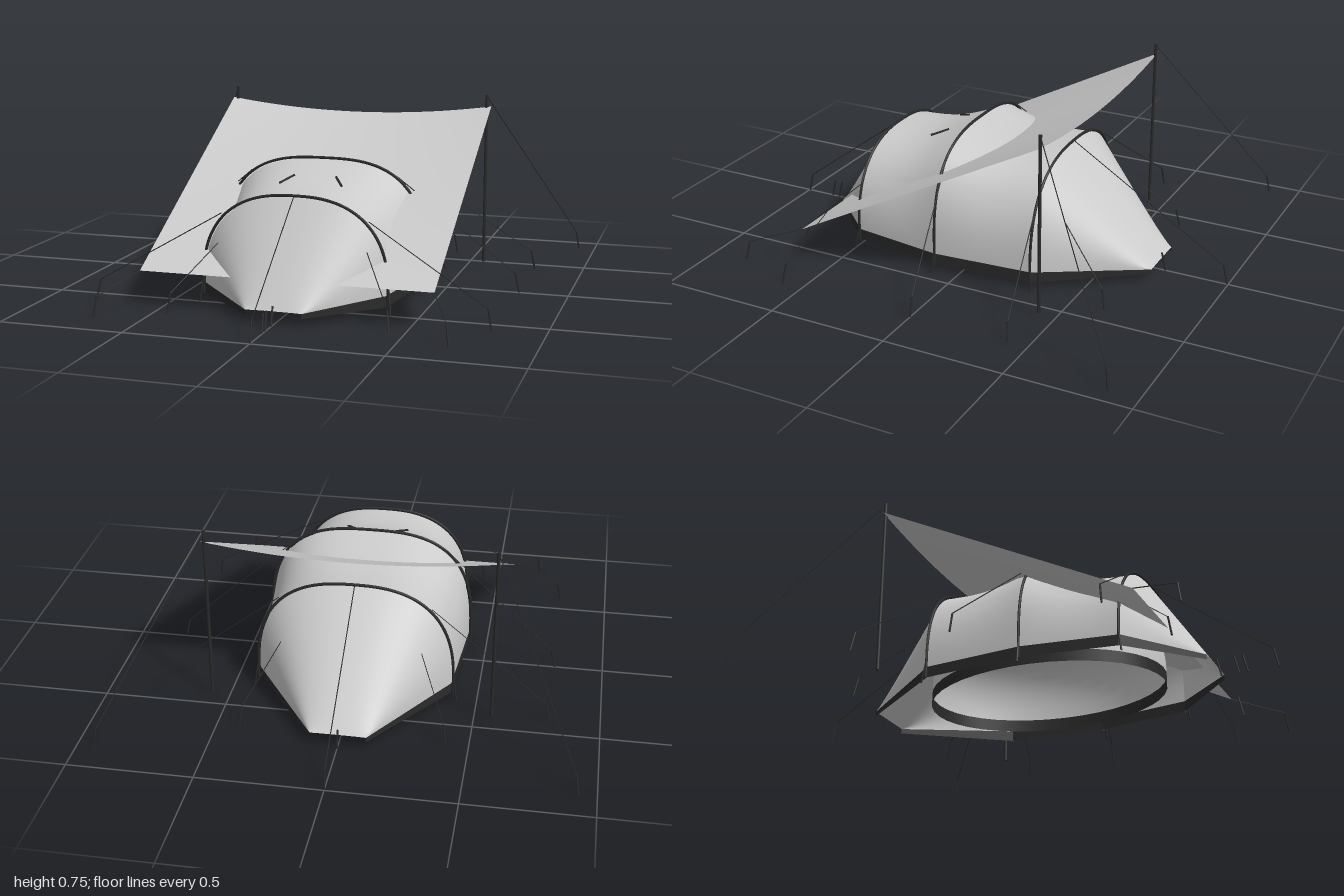
import * as THREE from 'three';
import { ParametricGeometry } from 'three/addons/geometries/ParametricGeometry.js';

const fabric = new THREE.MeshStandardMaterial({ color: 0xcccccc, side: THREE.DoubleSide });
const dark = new THREE.MeshStandardMaterial({ color: 0x2a2a2a, side: THREE.DoubleSide });
const V = (x, y, z) => new THREE.Vector3(x, y, z);
const lerp = THREE.MathUtils.lerp;

function add(parent, name, geometry, material) {
  const mesh = new THREE.Mesh(geometry, material);
  mesh.name = name;
  parent.add(mesh);
  return mesh;
}

function surface(parent, name, fn, nu, nv, material) {
  return add(parent, name, new ParametricGeometry((u, v, p) => p.copy(fn(u, v)), nu, nv), material);
}

// Straight rod between two points
function rod(parent, name, a, b, r, sides = 5) {
  const d = b.clone().sub(a);
  const mesh = add(parent, name, new THREE.CylinderGeometry(r, r, d.length(), sides), dark);
  mesh.position.copy(a).lerp(b, 0.5);
  mesh.quaternion.setFromUnitVectors(V(0, 1, 0), d.normalize());
}

// Arch cross-section: z, half width, top height, skirt height, squareness
const front = { z: 0.745, w: 0.11, h: 0.052, y0: 0.05, n: 2.5 };
const hoopA = { z: 0.49, w: 0.37, h: 0.437, y0: 0.075, n: 2.5 };
const hoopB = { z: 0.1, w: 0.425, h: 0.525, y0: 0.075, n: 2.9 };
const hoopC = { z: -0.315, w: 0.395, h: 0.487, y0: 0.075, n: 2.6 };
const back = { z: -0.715, w: 0.11, h: 0.052, y0: 0.05, n: 2.5 };

function arch(s, v, grow = 0) {
  const t = v * Math.PI;
  const c = Math.cos(t), k = 2 / s.n;
  return V(
    (s.w + grow) * Math.sign(c) * Math.abs(c) ** k,
    s.y0 + (s.h + grow - s.y0) * Math.max(Math.sin(t), 0) ** k,
    s.z
  );
}

// Fabric stretched between two arches, sagging inwards by given amounts
function panel(parent, name, a, b, sagTop, sagSide) {
  surface(parent, name, (u, v) => {
    const p = arch(a, v).lerp(arch(b, v), u);
    const sag = Math.sin(Math.PI * u), up = Math.sin(Math.PI * v);
    p.y -= sagTop * sag * up;
    p.x *= 1 - sagSide * sag * Math.min(1, up * 2);
    return p;
  }, 16, 48, fabric);
  // Dark skirt strips along both sides
  for (const s of [1, -1]) {
    surface(parent, 'skirt', (u, v) =>
      V(s * lerp(a.w, b.w, u), lerp(0.03, lerp(a.y0, b.y0, u), v), lerp(a.z, b.z, u)), 4, 1, dark);
  }
}

// Guy line with a ground peg at its end
function guy(parent, from, to) {
  rod(parent, 'guyLine', from, to, 0.002, 4);
  peg(parent, to);
}
function peg(parent, top) {
  const out = V(top.x, 0, top.z).setLength(0.018);
  rod(parent, 'peg', top, V(top.x + out.x, 0, top.z + out.z), 0.004, 5);
}

export function createModel() {
  const model = new THREE.Group();
  model.name = 'tentWithTarp';

  // Outer tent
  const tent = new THREE.Group();
  tent.name = 'outerTent';
  model.add(tent);
  panel(tent, 'frontPanel', front, hoopA, 0, 0);
  panel(tent, 'frontRoof', hoopA, hoopB, 0.028, 0.05);
  panel(tent, 'rearRoof', hoopB, hoopC, 0.025, 0.03);
  panel(tent, 'backPanel', hoopC, back, 0, 0);

  // Pole hoops over the fabric
  for (const s of [hoopA, hoopB, hoopC]) {
    const pts = [];
    for (let i = 0; i <= 40; i++) pts.push(arch(s, i / 40, 0.008));
    pts.unshift(V(s.w + 0.008, 0.03, s.z));
    pts.push(V(-s.w - 0.008, 0.03, s.z));
    add(tent, 'hoop', new THREE.TubeGeometry(new THREE.CatmullRomCurve3(pts), 80, 0.006, 6), dark);
  }

  // Inner tent with a dark oval base
  const inner = new THREE.Group();
  inner.name = 'innerTent';
  inner.position.z = 0.03;
  model.add(inner);
  surface(inner, 'innerDome', (u, v) => {
    const a = -u * Math.PI * 2, t = v * 0.999 * Math.PI / 2;
    const r = Math.cos(t) ** 0.8;
    return V(0.355 * r * Math.cos(a), 0.08 + 0.33 * Math.sin(t) ** 0.8, 0.5 * r * Math.sin(a));
  }, 40, 16, fabric);
  surface(inner, 'innerBase', (u, v) => {
    const a = -u * Math.PI * 2;
    return V(0.355 * Math.cos(a), 0.03 + 0.05 * v, 0.5 * Math.sin(a));
  }, 40, 1, dark);

  // Sloping tarp, its high rear edge sagging in the middle
  surface(model, 'tarp', (u, v) => {
    const x = lerp(-0.59, 0.59, u), k = (x / 0.59) ** 2;
    return V(x, lerp(0.14, 0.7, v) - 0.045 * v * (1 - k), lerp(0.63, -0.435, v));
  }, 24, 16, fabric);

  // Paired parts
  for (const s of [1, -1]) {
    rod(model, 'tarpPole', V(s * 0.57, 0.015, -0.435), V(s * 0.57, 0.75, -0.435), 0.007, 8);
    guy(model, V(s * 0.57, 0.745, -0.435), V(s * 0.918, 0.08, -0.865));
    guy(model, V(s * 0.59, 0.14, 0.63), V(s * 0.68, 0.08, 0.83));
    // Side lines from the hoops
    guy(model, V(s * 0.3, 0.36, 0.49), V(s * 0.783, 0.08, 0.58));
    guy(model, V(s * 0.31, 0.47, 0.1), V(s * 0.783, 0.08, 0));
    guy(model, V(s * 0.31, 0.41, -0.315), V(s * 0.783, 0.08, -0.41));
    // Corner lines of the end panels
    guy(model, V(s * 0.3, 0.25, 0.52), V(s * 0.43, 0.08, 0.705));
    guy(model, V(s * 0.26, 0.3, -0.37), V(s * 0.4, 0.08, -0.625));
    // Pegs at the hoop feet
    for (const h of [hoopA, hoopB, hoopC]) peg(model, V(s * (h.w + 0.01), 0.09, h.z));
    // Roof vent strips
    rod(model, 'roofVent', V(s * 0.13, 0.452, 0.28), V(s * 0.088, 0.476, 0.215), 0.005);
  }

  // Centre lines and end pegs
  guy(model, V(0, 0.44, 0.495), V(0, 0.08, 0.978));
  guy(model, V(0, 0.49, -0.32), V(0, 0.08, -0.978));
  for (const z of [0.75, 0.82, 0.855, -0.715]) peg(model, V(0, 0.075, z));

  return model;
}
